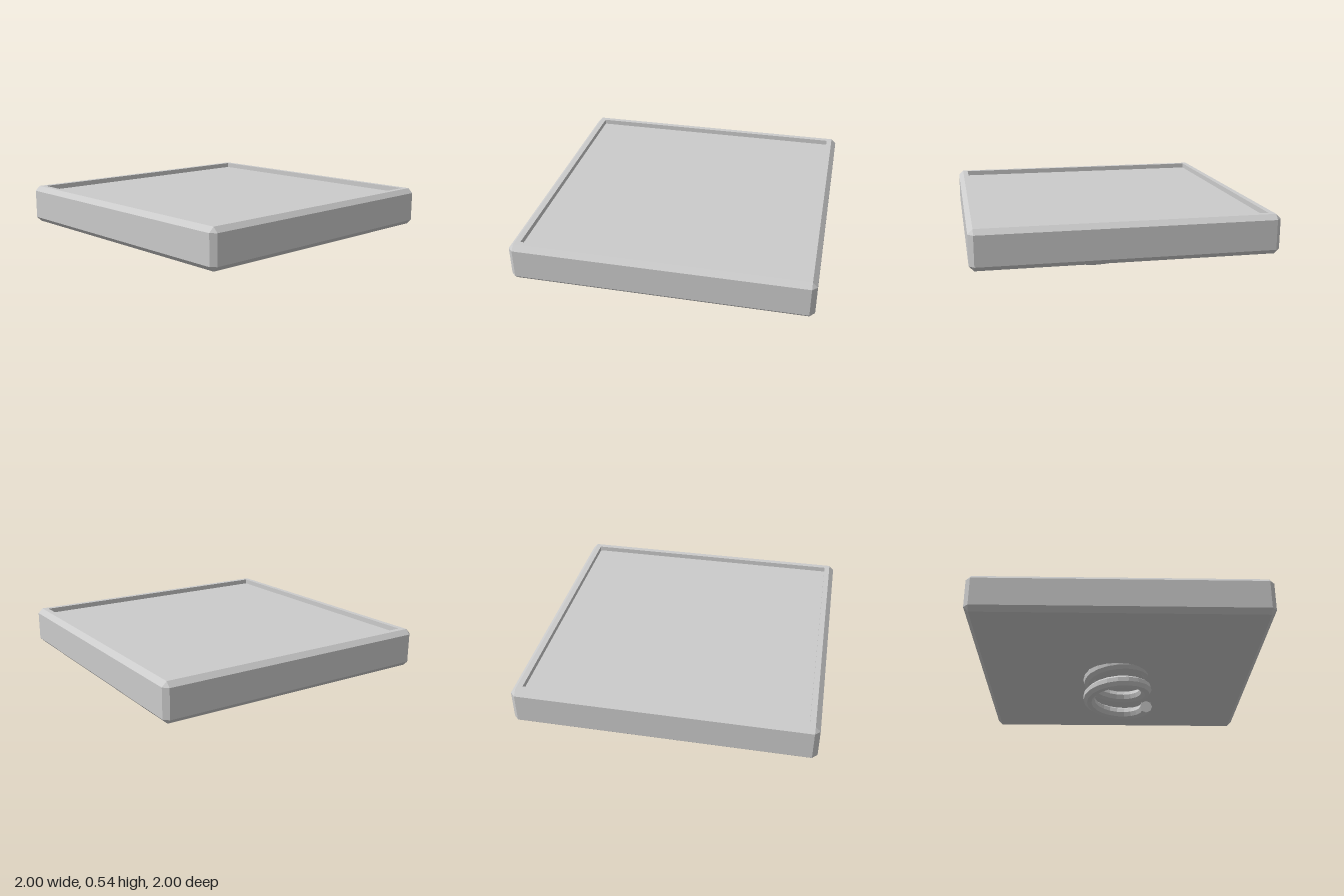
import * as THREE from 'three';

const material = new THREE.MeshStandardMaterial({ color: 0xcccccc, flatShading: true });

function geometryFrom(triangles) {
  const geometry = new THREE.BufferGeometry().setFromPoints(triangles);
  geometry.computeVertexNormals();
  return geometry;
}

// Square ring at height y with its corners cut off by `cut`
function squareRing(half, cut, y) {
  const points = [];
  for (let k = 0; k < 4; k++) {
    for (const [x, z] of [[half, half - cut], [half - cut, half]]) {
      const p = new THREE.Vector3(x, y, z);
      for (let i = 0; i < k; i++) p.set(-p.z, y, p.x);
      points.push(p);
    }
  }
  return points;
}

// Chamfered slab with a shallow recess in its top
function createPlatform() {
  const c = 0.033, bottom = 0.28, top = 0.545;
  const rings = [
    [0, 0, bottom],
    [1 - c, 0, bottom],
    [1, c, bottom + c],
    [1, c, top - c],
    [1 - c, 0, top],
    [0.93, 0, top],
    [0.93, 0, top - 0.035],
    [0, 0, top - 0.035],
  ].map((r) => squareRing(...r));

  const triangles = [];
  const addTriangle = (a, b, d) => {
    if (new THREE.Triangle(a, b, d).getArea() > 1e-9) triangles.push(a, b, d);
  };
  for (let i = 0; i < rings.length - 1; i++) {
    for (let j = 0; j < 8; j++) {
      const n = (j + 1) % 8;
      addTriangle(rings[i][j], rings[i + 1][j], rings[i + 1][n]);
      addTriangle(rings[i][j], rings[i + 1][n], rings[i][n]);
    }
  }
  const mesh = new THREE.Mesh(geometryFrom(triangles), material);
  mesh.name = 'platform';
  return mesh;
}

// Helix rising from its free end at +x, going round by the back
class Helix extends THREE.Curve {
  getPoint(t, target = new THREE.Vector3()) {
    const turns = 2.25 * t, angle = turns * Math.PI * 2;
    return target.set(0.211 * Math.cos(angle), 0.046 + 0.137 * turns, -0.211 * Math.sin(angle));
  }
}

function createSpring() {
  const spring = new THREE.Group();
  spring.name = 'spring';
  const sides = 8;
  const tube = new THREE.TubeGeometry(new Helix(), 45, 0.044, sides, false);
  const coil = new THREE.Mesh(tube, material);
  coil.name = 'springCoil';

  // Flat cap closing the free end, made from the first ring of the coil
  const position = tube.attributes.position;
  const ringPoint = (i) => new THREE.Vector3().fromBufferAttribute(position, i);
  const centre = new Helix().getPoint(0);
  const triangles = [];
  for (let i = 0; i < sides; i++) triangles.push(centre, ringPoint(i), ringPoint(i + 1));
  const cap = new THREE.Mesh(geometryFrom(triangles), material);
  cap.name = 'springEndCap';

  spring.add(coil, cap);
  return spring;
}

export function createModel() {
  const model = new THREE.Group();
  model.name = 'springPlatform';
  model.add(createPlatform(), createSpring());
  return model;
}
